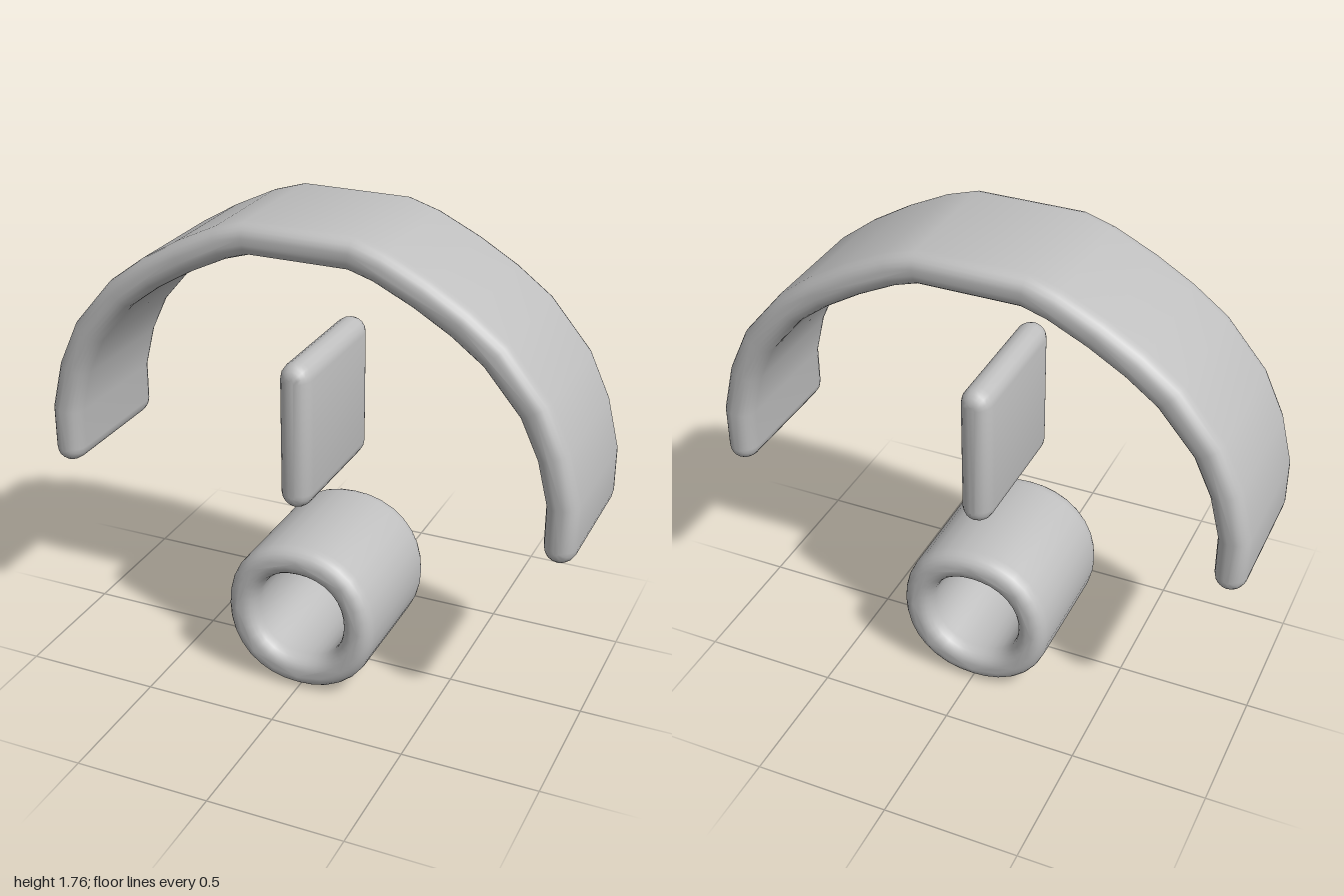
import * as THREE from 'three';
import { toCreasedNormals } from 'three/addons/utils/BufferGeometryUtils.js';

const HALF_DEPTH = 0.283;
const ROUND = 0.046;

const vec = (x, y) => new THREE.Vector2(x, y);

// Closed outline of a band with round ends, following a centre line
function bandOutline(path, r) {
  const n = path.length;
  const dir = (i) => path[i + 1].clone().sub(path[i]).normalize();
  const side = path.map((p, i) => {
    const a = dir(Math.max(i - 1, 0));
    const b = dir(Math.min(i, n - 2));
    const t = a.clone().add(b).normalize();
    return vec(-t.y, t.x).multiplyScalar(r / t.dot(a));
  });
  const cap = (centre, from) => {
    const points = [];
    for (let k = 1; k < 8; k++) {
      const a = from - (Math.PI * k) / 8;
      points.push(vec(centre.x + r * Math.cos(a), centre.y + r * Math.sin(a)));
    }
    return points;
  };
  const left = path.map((p, i) => p.clone().add(side[i]));
  const right = path.map((p, i) => p.clone().sub(side[i])).reverse();
  return [
    ...left, ...cap(path[n - 1], side[n - 1].angle()),
    ...right, ...cap(path[0], side[0].angle() + Math.PI),
  ];
}

// Slightly squared circle
function roundOutline(cx, cy, r, power, count) {
  const points = [];
  for (let i = 0; i < count; i++) {
    const a = (i / count) * Math.PI * 2;
    const c = Math.cos(a), s = Math.sin(a);
    const k = r / Math.pow(Math.abs(c) ** power + Math.abs(s) ** power, 1 / power);
    points.push(vec(cx + c * k, cy + s * k));
  }
  return points;
}

// Extrude an outline through the full depth with soft front and back edges
function softExtrude(name, outline, material, hole) {
  const shape = new THREE.Shape(outline);
  if (hole) shape.holes.push(new THREE.Path(hole));
  const bevel = 0.06;
  const geometry = new THREE.ExtrudeGeometry(shape, {
    depth: 2 * (HALF_DEPTH - bevel),
    bevelEnabled: true,
    bevelThickness: bevel,
    bevelSize: ROUND,
    bevelOffset: -ROUND,
    bevelSegments: 5,
  });
  geometry.translate(0, 0, bevel - HALF_DEPTH);
  const mesh = new THREE.Mesh(toCreasedNormals(geometry, 0.9), material);
  mesh.name = name;
  return mesh;
}

export function createModel() {
  const group = new THREE.Group();
  group.name = 'archPlateAndRing';
  const grey = new THREE.MeshStandardMaterial({ color: 0xbfbfbf });
  grey.name = 'lightGrey';

  // Arch: one half of the centre line, mirrored
  const half = [
    [0.942, 0.795], [0.942, 0.95], [0.90, 1.12], [0.83, 1.27],
    [0.69, 1.435], [0.57, 1.525], [0.435, 1.605], [0.29, 1.675], [0.19, 1.706],
  ];
  const archPath = [
    ...half.map(([x, y]) => vec(-x, y)),
    ...half.map(([x, y]) => vec(x, y)).reverse(),
  ];
  group.add(softExtrude('arch', bandOutline(archPath, 0.057), grey));

  // Upright plate under the arch
  const platePath = [vec(-0.015, 0.797), vec(-0.015, 1.23)];
  group.add(softExtrude('uprightPlate', bandOutline(platePath, 0.058), grey));

  // Hollow ring at the bottom
  group.add(softExtrude('ring',
    roundOutline(-0.003, 0.288, 0.287, 2.15, 32), grey,
    roundOutline(-0.004, 0.292, 0.172, 2.2, 32)));

  return group;
}
